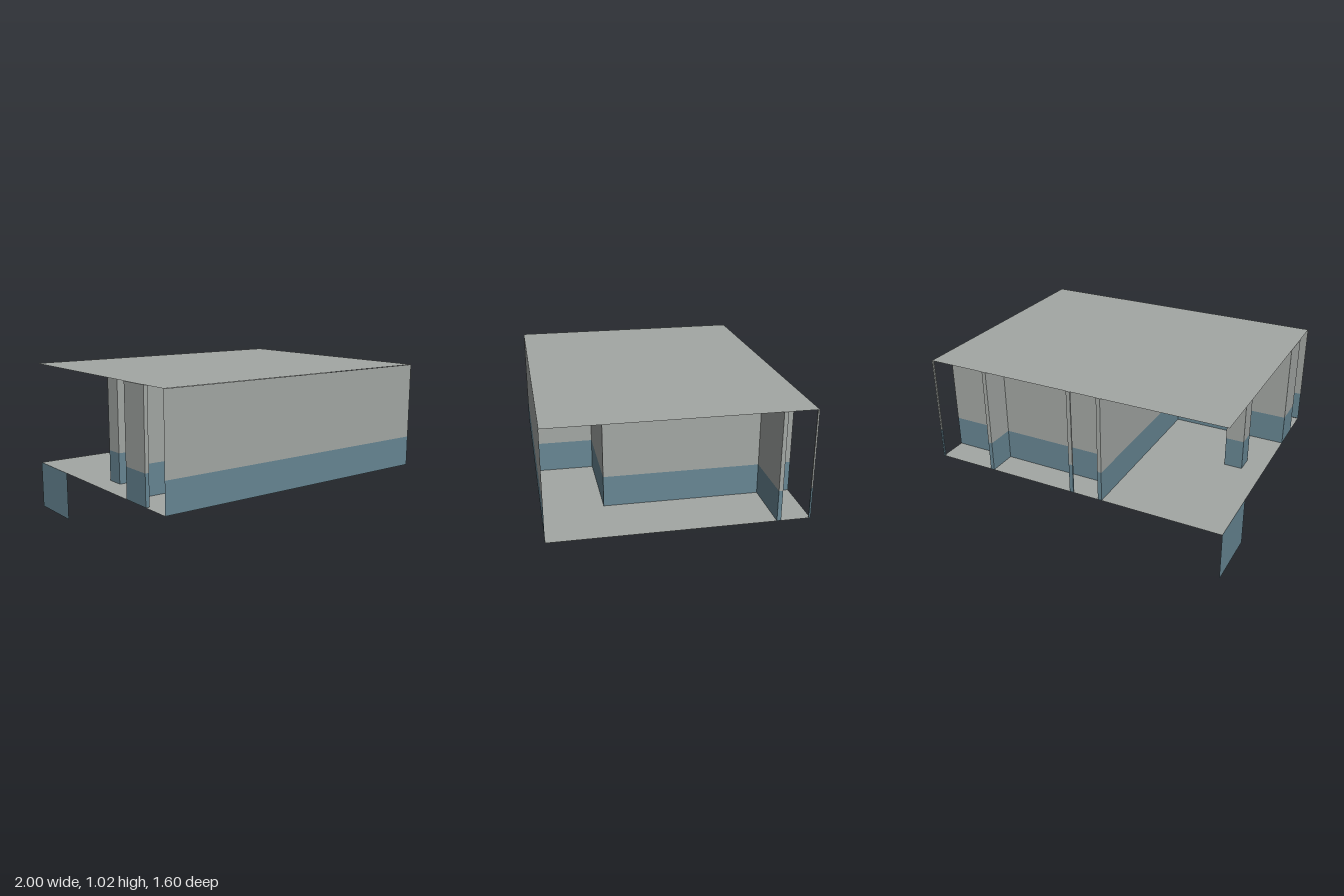
import * as THREE from 'three';

const FLOOR = 0.32, SPLIT = 0.52, ROOF = 1.02;
const gap = 0.001; // keeps wall ends clear of the slabs

export function createModel() {
  const model = new THREE.Group();
  model.name = 'building';

  const grey = new THREE.MeshStandardMaterial({ color: 0xa3a7a4, side: THREE.DoubleSide });
  grey.name = 'concrete grey';
  const blue = new THREE.MeshStandardMaterial({ color: 0x678693, side: THREE.DoubleSide });
  blue.name = 'dado blue';

  // Block given by its limits; a zero depth gives a single sheet
  function block(parent, name, mat, x0, x1, y0, y1, z0, z1) {
    const w = x1 - x0, h = y1 - y0, d = z1 - z0;
    let geo;
    if (d === 0) geo = new THREE.PlaneGeometry(w, h);
    else if (h === 0) geo = new THREE.PlaneGeometry(w, d).rotateX(-Math.PI / 2);
    else if (w === 0) geo = new THREE.PlaneGeometry(d, h).rotateY(Math.PI / 2);
    else geo = new THREE.BoxGeometry(w, h, d);
    const mesh = new THREE.Mesh(geo, mat);
    mesh.name = name;
    mesh.position.set((x0 + x1) / 2, (y0 + y1) / 2, (z0 + z1) / 2);
    parent.add(mesh);
  }

  // Wall or post, blue below the dado line and grey above
  function wall(name, x0, x1, z0, z1) {
    const group = new THREE.Group();
    group.name = name;
    block(group, name + 'Lower', blue, x0, x1, FLOOR + gap, SPLIT, z0, z1);
    block(group, name + 'Upper', grey, x0, x1, SPLIT, ROOF - gap, z0, z1);
    model.add(group);
  }

  // Slabs
  block(model, 'floor', grey, -1, 1, FLOOR, FLOOR, -0.8, 0.8);
  block(model, 'roof', grey, -1, 1, ROOF, ROOF, -0.8, 0.8);

  // Front wall in two sheets, with the end of the corridor divider between
  wall('frontWallRight', -1, -0.013, 0.8, 0.8);
  wall('frontWallLeft', 0.013, 1, 0.8, 0.8);
  wall('corridorDivider', -0.013, 0.013, 0.41, 0.8);

  // Cross walls running front to back
  wall('crossWallLeft', 0.587, 0.613, -0.8, 0.41);
  wall('crossWallRight', -0.213, -0.187, -0.8, 0.41);

  // Walls running side to side
  wall('backWall', -0.187, 1, -0.613, -0.587);
  wall('corridorWallOuter', -1, -0.213, 0.387, 0.41);
  wall('corridorWallInner', -0.187, 0.587, 0.387, 0.41);
  wall('sideWall', -1, -0.975, 0.387, 0.6);

  // Pillar and slender posts
  wall('pillar', -0.86, -0.74, -0.06, 0.06);
  wall('backPost', -0.013, 0.013, -0.8, -0.79);
  wall('cornerPost', 0.99, 1, -0.8, -0.79);

  // Panel hanging below the floor edge
  block(model, 'hangingPanel', blue, -1, -1, 0, FLOOR, -0.8, -0.4);

  return model;
}
